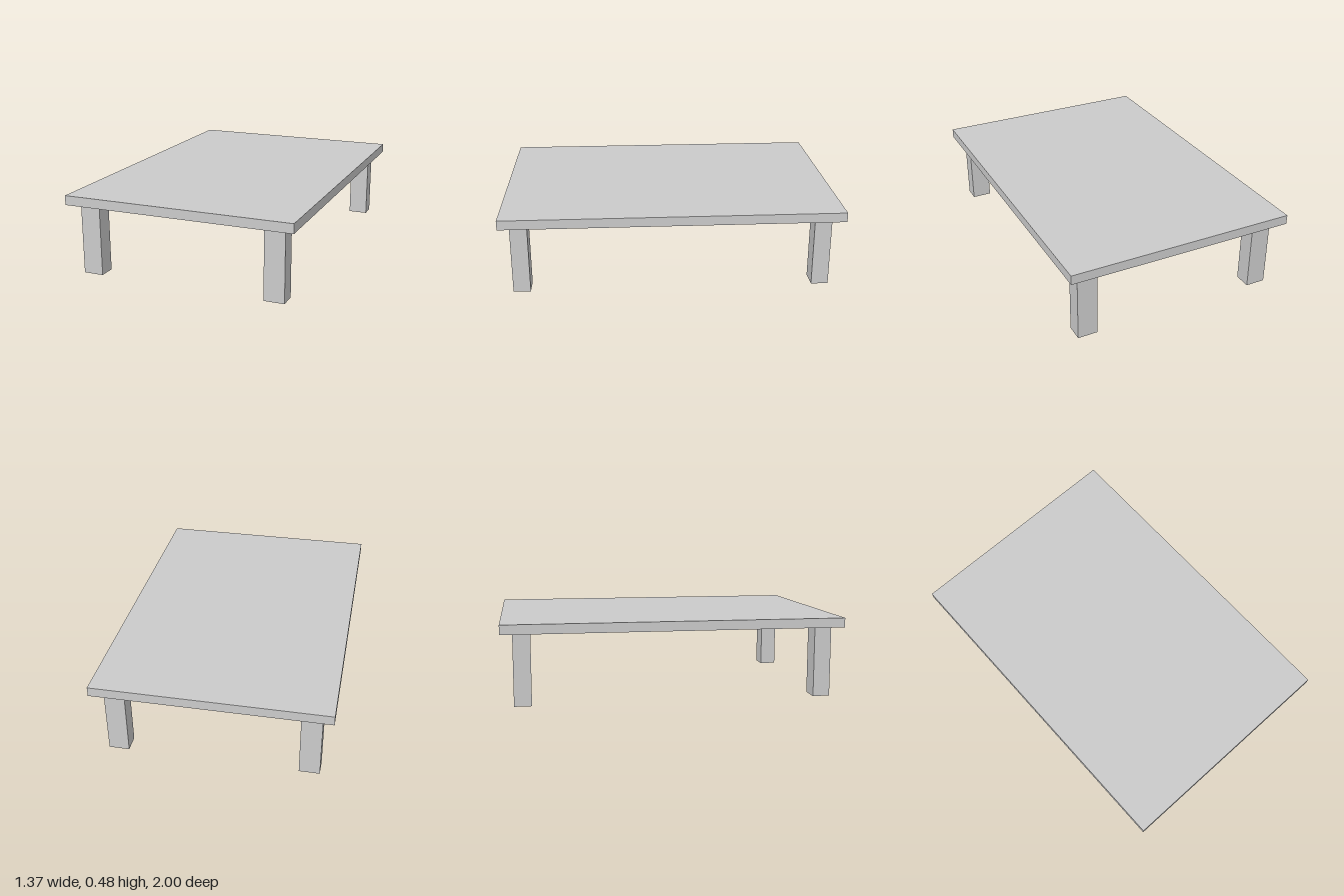
import * as THREE from 'three';

export function createModel() {
  const table = new THREE.Group();
  table.name = 'lowTable';
  const material = new THREE.MeshStandardMaterial({ color: 0xcccccc });

  const topHeight = 0.478;
  const legHeight = 0.422;

  function addBox(name, width, height, depth, x, bottom, z) {
    const mesh = new THREE.Mesh(new THREE.BoxGeometry(width, height, depth), material);
    mesh.name = name;
    mesh.position.set(x, bottom + height / 2, z);
    table.add(mesh);
  }

  // Flat slab top
  addBox('tableTop', 1.372, topHeight - legHeight, 2, 0, legHeight, 0);

  // Four rectangular legs, the back pair set in slightly further
  for (const [end, z] of [['front', 0.89], ['back', -0.88]]) {
    for (const [side, x] of [['Left', 0.561], ['Right', -0.561]]) {
      addBox(`${end}${side}Leg`, 0.12, legHeight, 0.101, x, 0, z);
    }
  }

  return table;
}
